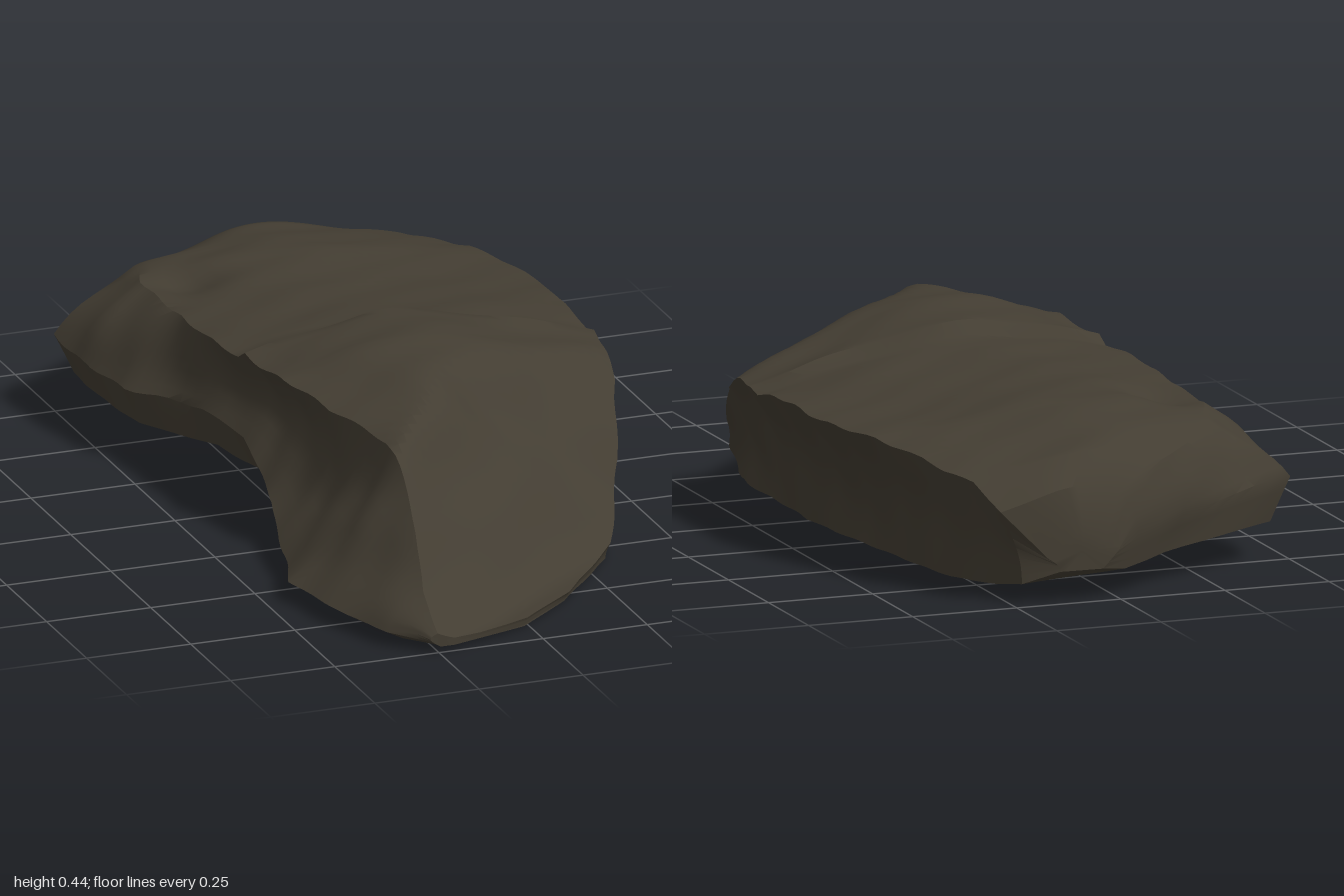
import * as THREE from 'three';
import { toCreasedNormals } from 'three/addons/utils/BufferGeometryUtils.js';

// Stations from back to front:
// z, left bulge x, left bulge y, top left x, crown y, right rim x, right foot x, underside y
const stations = [
  [-1.0, 0.0, 0.12, 0.03, 0.17, 0.17, 0.14, 0.08],
  [-0.97, -0.06, 0.14, -0.03, 0.27, 0.26, 0.22, 0.05],
  [-0.9, -0.2, 0.16, -0.15, 0.33, 0.3, 0.25, 0.04],
  [-0.83, -0.36, 0.18, -0.24, 0.345, 0.34, 0.28, 0.035],
  [-0.75, -0.51, 0.19, -0.32, 0.365, 0.37, 0.3, 0.03],
  [-0.6, -0.51, 0.19, -0.36, 0.385, 0.43, 0.32, 0.025],
  [-0.4, -0.48, 0.18, -0.36, 0.38, 0.48, 0.34, 0.02],
  [-0.2, -0.37, 0.18, -0.36, 0.39, 0.49, 0.35, 0.015],
  [-0.05, -0.33, 0.16, -0.345, 0.41, 0.5, 0.355, 0.01],
  [-0.01, -0.33, 0.15, -0.34, 0.435, 0.5, 0.36, 0.01],
  [0.2, -0.35, 0.1, -0.325, 0.45, 0.47, 0.36, 0.01],
  [0.38, -0.4, 0.06, -0.28, 0.43, 0.41, 0.355, 0.01],
  [0.57, -0.45, 0.05, -0.22, 0.415, 0.32, 0.31, 0.005],
  [0.8, -0.4, 0.045, -0.24, 0.4, 0.13, 0.12, 0.01],
  [0.92, -0.35, 0.04, -0.27, 0.4, -0.02, -0.03, 0.01],
  [1.0, -0.27, 0.03, -0.26, 0.4, -0.22, -0.22, 0.02],
];

const { lerp, smoothstep } = THREE.MathUtils;

// Rounded bump around a point in plan, with its spread squared
const bump = (x, z, cx, cz, spread) => Math.exp(-((x - cx) ** 2 + (z - cz) ** 2) / spread);

// Minimum with a rounded transition of width k
function softMin(a, b, k) {
  const h = Math.max(k - Math.abs(a - b), 0) / k;
  return Math.min(a, b) - h * h * k * 0.25;
}

// Straight line split into n steps, without its end point
function addLine(ring, x0, y0, x1, y1, n, bulge = 0) {
  for (let i = 0; i < n; i++) {
    const t = i / n;
    ring.push([lerp(x0, x1, t) + bulge * Math.sin(Math.PI * t), lerp(y0, y1, t)]);
  }
}

// Closed cross-section, clockwise when seen from the front
function crossSection([z, xL, yL, xTL, crown, xR, xBR, yB]) {
  // The mound is more pronounced towards the front
  const mound = lerp(0.32, 0.65, smoothstep(z, -0.2, 0.1));
  // Crown of the plateau, cut by the sloping front face
  const topY = (u) => {
    const x = lerp(xTL, xR, u);
    const d = (u - 0.37) ** 2;
    const plateau = crown - mound * d / (1 + 3 * d) - 0.035 * bump(x, z, -0.27, -0.55, 0.005);
    const slope = 0.4 - 0.72 * (x + 0.2) - 0.92 * (z - 0.57)
      + 0.05 * bump(x, z, 0.43, 0.3, 0.012) - 0.015 * bump(x, z, 0.07, 0.4, 0.006);
    return -softMin(-softMin(plateau, slope, 0.03), -0.03, 0.05);
  };
  const ring = [];
  const xBL = Math.min(xL + 0.04, lerp(xL, xBR, 0.3));
  const yBL = Math.max(yB, yL * 0.5);
  // The left side is scooped out behind the front foot
  const scoop = 0.095 * Math.exp(-(((z - 0.23) / 0.38) ** 2)) - 0.015;
  addLine(ring, xBL, yBL, xL, yL, 3);
  addLine(ring, xL, yL, xTL, topY(0), 7, scoop);
  for (let i = 0; i < 26; i++) ring.push([lerp(xTL, xR, i / 26), topY(i / 26)]);
  addLine(ring, xR, topY(1), xBR, yB, 8, (xBR - xR) * 0.25);
  addLine(ring, xBR, yB, xBL, yBL, 8);
  return ring;
}

// Smooth repeatable roughness
function rough(a, b, c) {
  return Math.sin(9 * a + 5 * b + 1.3) * Math.sin(8 * c - 6 * b + 0.4) * 0.6
    + Math.sin(23 * a - 11 * c + 17 * b) * 0.3
    + Math.sin(37 * c + 19 * a + 2) * 0.25;
}

function rockGeometry() {
  // Resample the stations
  const rows = [];
  for (let s = 0; s < stations.length - 1; s++) {
    const a = stations[s], b = stations[s + 1];
    const n = Math.max(1, Math.round((b[0] - a[0]) / 0.028));
    for (let k = 0; k < n; k++) rows.push(a.map((v, i) => lerp(v, b[i], k / n)));
  }
  rows.push(stations[stations.length - 1]);

  const positions = [], index = [];
  const rings = rows.map(crossSection);
  const count = rings[0].length;
  rings.forEach((ring, r) => {
    const z = rows[r][0];
    for (const [x, y] of ring) {
      const lift = smoothstep(y, 0.0, 0.2);
      positions.push(
        x + 0.011 * rough(y, x, z),
        y + 0.009 * lift * rough(x, y, z),
        z + 0.012 * lift * rough(z + 2, x, y),
      );
    }
  });

  // Skin between the sections
  for (let r = 0; r < rings.length - 1; r++) {
    for (let j = 0; j < count; j++) {
      const k = (j + 1) % count;
      const a = r * count + j, b = r * count + k;
      const d = a + count, c = b + count;
      index.push(a, d, c, a, c, b);
    }
  }

  // Close both ends
  const cap = (r, front) => {
    const centre = positions.length / 3;
    const sum = [0, 0, 0];
    for (let j = 0; j < count; j++) {
      for (let i = 0; i < 3; i++) sum[i] += positions[(r * count + j) * 3 + i] / count;
    }
    positions.push(...sum);
    for (let j = 0; j < count; j++) {
      const a = r * count + j, b = r * count + (j + 1) % count;
      index.push(centre, front ? b : a, front ? a : b);
    }
  };
  cap(0, false);
  cap(rings.length - 1, true);

  const geometry = new THREE.BufferGeometry();
  geometry.setAttribute('position', new THREE.Float32BufferAttribute(positions, 3));
  geometry.setIndex(index);

  // Rest on the ground, centred
  geometry.computeBoundingBox();
  const { min, max } = geometry.boundingBox;
  geometry.translate(-(min.x + max.x) / 2, -min.y, -(min.z + max.z) / 2);
  return toCreasedNormals(geometry, 0.6);
}

export function createModel() {
  const group = new THREE.Group();
  group.name = 'rock';
  const stone = new THREE.MeshStandardMaterial({ color: 0x433d32 });
  stone.name = 'dark brown stone';
  const boulder = new THREE.Mesh(rockGeometry(), stone);
  boulder.name = 'boulder';
  group.add(boulder);
  return group;
}
